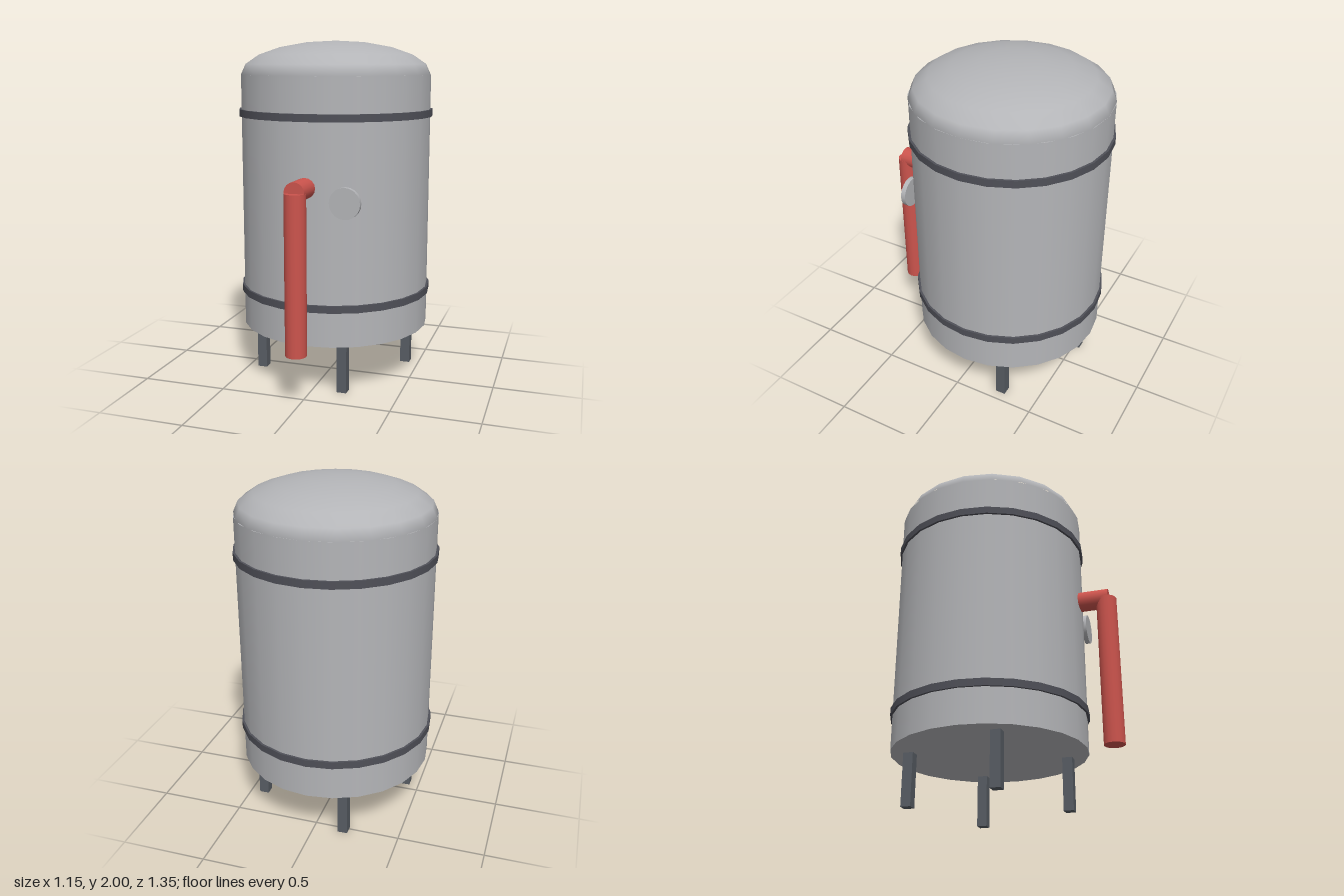
import * as THREE from 'three';

export function createModel() {
  const model = new THREE.Group();
  model.name = 'storageTank';

  const mat = (name, color) => {
    const m = new THREE.MeshStandardMaterial({ color });
    m.name = name;
    return m;
  };
  const shell = mat('shellGrey', 0xb4b5b8);
  const bandMat = mat('bandDarkGrey', 0x4f5058);
  const legMat = mat('legSteel', 0x585d64);
  const red = mat('pipeRed', 0xcc544d);

  const add = (parent, name, geometry, material, x, y, z) => {
    const mesh = new THREE.Mesh(geometry, material);
    mesh.name = name;
    mesh.position.set(x, y, z);
    parent.add(mesh);
    return mesh;
  };

  // Tank, its centre line set back from the pipe
  const tank = new THREE.Group();
  tank.name = 'tank';
  tank.position.z = -0.1;
  model.add(tank);

  const R = 0.563, bottom = 0.305, top = 1.804;
  add(tank, 'body', new THREE.CylinderGeometry(R, R, top - bottom, 24), shell, 0, (top + bottom) / 2, 0);

  // Flattened half sphere on top
  const dome = new THREE.SphereGeometry(R, 20, 5, 0, Math.PI * 2, 0, Math.PI / 2);
  dome.scale(1, (2 - top) / R, 1);
  add(tank, 'dome', dome, shell, 0, top, 0);

  // Reinforcing bands
  for (const [name, y] of [['lowerBand', 0.528], ['upperBand', 1.584]]) {
    add(tank, name, new THREE.CylinderGeometry(0.576, 0.576, 0.042, 24), bandMat, 0, y, 0);
  }

  // Four upright legs on a square turned about the tank axis
  const legTop = 0.32;
  for (let i = 0; i < 4; i++) {
    const a = Math.atan2(0.175, 0.415) + i * Math.PI / 2;
    add(tank, 'leg' + (i + 1), new THREE.BoxGeometry(0.058, legTop, 0.058), legMat,
      0.45 * Math.sin(a), legTop / 2, 0.45 * Math.cos(a));
  }

  // Outlet pipe: a drop and a short run into the tank wall
  const pipe = new THREE.Group();
  pipe.name = 'outletPipe';
  model.add(pipe);
  add(pipe, 'pipeDrop', new THREE.CylinderGeometry(0.06, 0.06, 0.895, 16), red, 0, 0.7525, 0.615);
  const run = add(pipe, 'pipeRun', new THREE.CylinderGeometry(0.058, 0.058, 0.23, 16), red, 0, 1.204, 0.515);
  run.rotation.x = Math.PI / 2;

  // Round gauge beside the pipe
  const gauge = add(model, 'gauge', new THREE.CylinderGeometry(0.088, 0.088, 0.028, 20), shell, 0.225, 1.13, 0.448);
  gauge.rotation.x = Math.PI / 2;

  return model;
}
